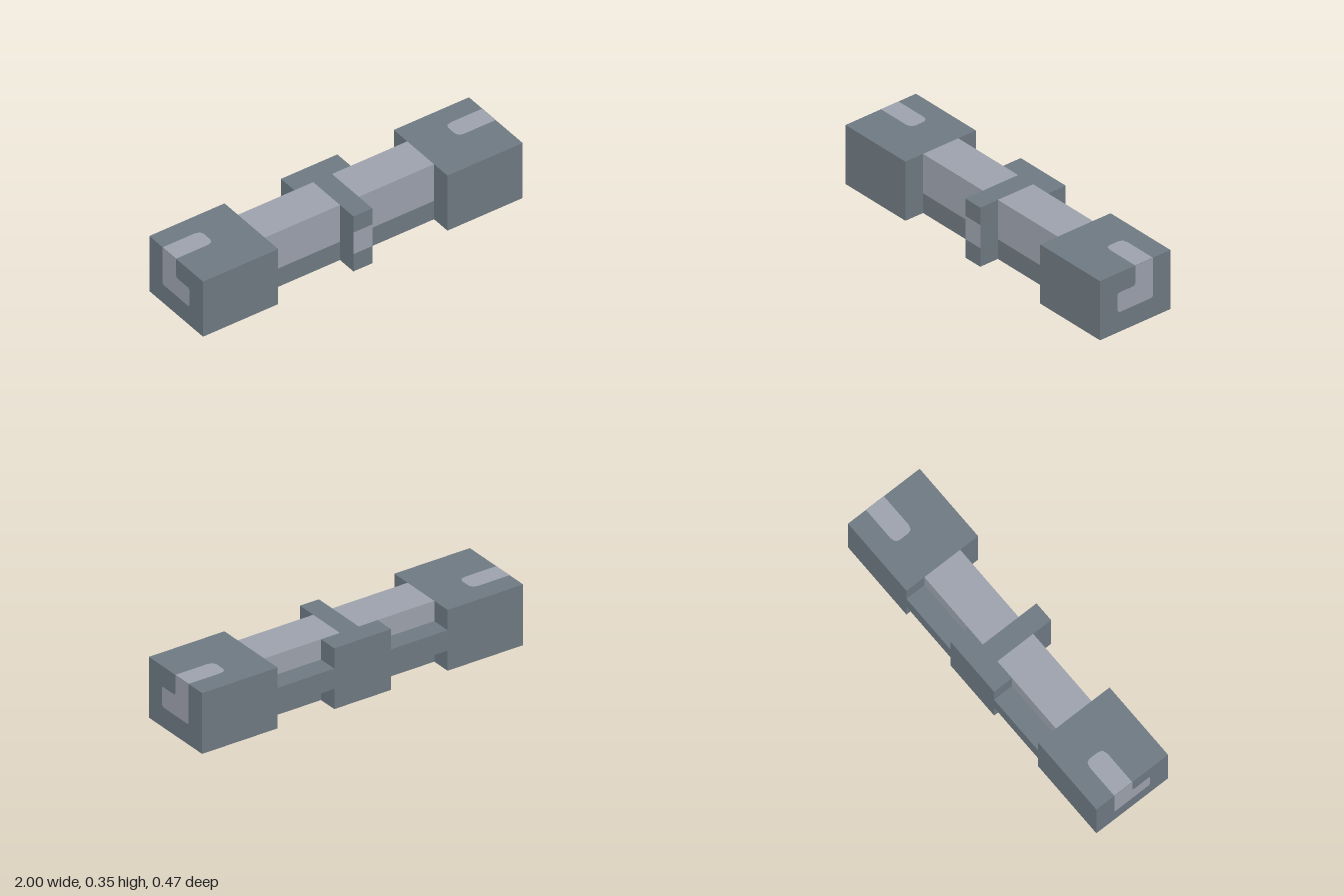
import * as THREE from 'three';

export function createModel() {
  const model = new THREE.Group();
  model.name = 'notchedBlock';
  const dark = new THREE.MeshStandardMaterial({ color: 0x6e7982 });
  dark.name = 'slate grey';
  const light = new THREE.MeshStandardMaterial({ color: 0x9ca1ac, side: THREE.DoubleSide });
  light.name = 'pale grey';

  // Everything sits on a grid of 17 x 3 x 4 units
  const U = 2 / 17;

  // Box between grid coordinates; lightFaces lists faces (+x -x +y -y +z -z) drawn pale
  function box(name, x0, x1, y0, y1, z0, z1, lightFaces = []) {
    const geo = new THREE.BoxGeometry((x1 - x0) * U, (y1 - y0) * U, (z1 - z0) * U);
    const mats = [0, 1, 2, 3, 4, 5].map(i => (lightFaces.includes(i) ? light : dark));
    const mesh = new THREE.Mesh(geo, lightFaces.length ? mats : dark);
    mesh.name = name;
    mesh.position.set((x0 + x1) / 2 * U, (y0 + y1) / 2 * U, (z0 + z1) / 2 * U);
    model.add(mesh);
  }

  // Middle: full-height back block, spine and a front post with a pale band
  box('backBlock', -1.5, 1.5, 0, 3, -2, -1);
  box('spine', -0.5, 0.5, 0, 3, -1, 1);
  box('postBottom', -0.5, 0.5, 0, 0.94, 1, 2);
  box('postBand', -0.5, 0.5, 0.94, 2.12, 1, 2, [4]);
  box('postTop', -0.5, 0.5, 2.12, 3, 1, 2);

  // Pale patch that runs down each end, stepped towards the front (u = -z, v = y)
  const endShape = new THREE.Shape([
    [1, 3], [0, 3], [0, 2.1], [-0.08, 2], [-0.93, 2], [-1, 1.93],
    [-1, 1.1], [-0.9, 1], [0.93, 1], [1, 1.07],
  ].map(([u, v]) => new THREE.Vector2(u * U, v * U)));

  // Its continuation on top, with a rounded inner end (u = outward x, v = -z)
  const topShape = new THREE.Shape([
    [8.5, 0], [6.8, 0], [6.58, 0.07], [6.5, 0.25],
    [6.5, 0.75], [6.58, 0.93], [6.8, 1], [8.5, 1],
  ].map(([u, v]) => new THREE.Vector2(u * U, v * U)));

  for (const s of [1, -1]) {
    const side = s > 0 ? 'left' : 'right';
    const span = (a, b) => (s > 0 ? [a, b] : [-b, -a]);

    box(side + 'EndBlock', ...span(4.5, 8.5), 0, 3, -2, 2);
    box(side + 'BarBase', ...span(0.5, 4.5), 0, 1, -1, 1);
    box(side + 'BarUpper', ...span(0.5, 4.5), 1, 3, -1, 1, [2, 4, 5]);
    box(side + 'BackLedge', ...span(1.5, 4.5), 1, 2, -2, -1);

    const end = new THREE.Mesh(new THREE.ShapeGeometry(endShape), light);
    end.name = side + 'EndPatch';
    end.rotation.y = Math.PI / 2;
    end.position.x = s * 1.001;
    model.add(end);

    const top = new THREE.Mesh(new THREE.ShapeGeometry(topShape), light);
    top.name = side + 'TopPatch';
    top.rotation.x = -Math.PI / 2;
    top.scale.x = s;
    top.position.y = 3 * U + 0.001;
    model.add(top);
  }
  return model;
}
